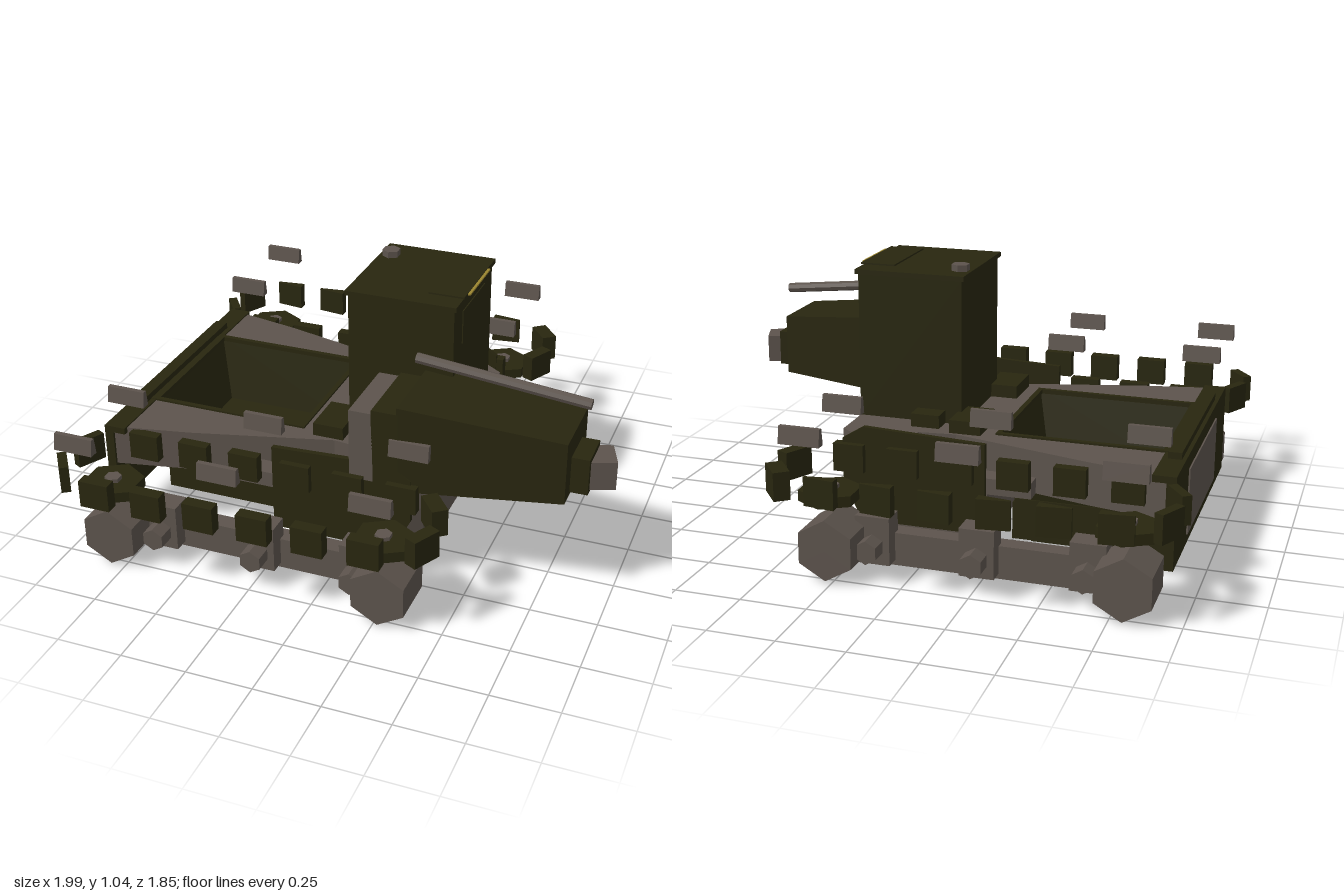
import * as THREE from 'three';

const mat = (name, color, side = THREE.FrontSide) => {
  const m = new THREE.MeshStandardMaterial({ color, side, flatShading: true });
  m.name = name;
  return m;
};

export function createModel() {
  const root = new THREE.Group();
  const olive = mat('darkOlive', 0x28260f, THREE.DoubleSide);
  const grey = mat('warmGrey', 0x5c534c);
  const brass = mat('brass', 0x9a8530);

  const add = (name, geo, m) => {
    const mesh = new THREE.Mesh(geo, m);
    mesh.name = name;
    root.add(mesh);
    return mesh;
  };
  // box from its limits on each axis
  const box = (name, m, x0, x1, y0, y1, z0, z1) => {
    const mesh = add(name, new THREE.BoxGeometry(x1 - x0, y1 - y0, z1 - z0), m);
    mesh.position.set((x0 + x1) / 2, (y0 + y1) / 2, (z0 + z1) / 2);
    return mesh;
  };
  // upright prism over an [x, z] outline, with an optional hole
  const prism = (name, m, pts, y0, y1, hole) => {
    const flat = (list) => list.map(([x, z]) => new THREE.Vector2(x, -z));
    const shape = new THREE.Shape(flat(pts));
    if (hole) shape.holes.push(new THREE.Path(flat(hole)));
    const geo = new THREE.ExtrudeGeometry(shape, { depth: y1 - y0, bevelEnabled: false });
    geo.rotateX(-Math.PI / 2);
    const mesh = add(name, geo, m);
    mesh.position.y = y0;
    return mesh;
  };
  const mirrored = (half) => [...half, ...half.map(([x, z]) => [x, -z]).reverse()];

  // Chassis with chamfered nose
  prism('lowerHull', grey, mirrored([[-0.2, 0.37], [0.2, 0.37], [0.27, 0.3], [0.3, 0.21]]), 0.075, 0.3);
  prism('upperHull', grey, mirrored([[0.07, 0.45], [0.28, 0.45], [0.35, 0.4], [0.35, 0.21]]), 0.3, 0.46);
  prism('deck', grey, mirrored([[-0.89, 0.54], [-0.6, 0.48], [-0.07, 0.34], [0.1, 0.36]]), 0.3, 0.46,
    [[-0.84, 0.29], [-0.22, 0.29], [-0.22, -0.29], [-0.84, -0.29]]);

  // Open hopper with sloping walls
  const hopper = new THREE.CylinderGeometry(Math.SQRT1_2, Math.SQRT1_2 * 0.84, 0.27, 4, 1, true);
  hopper.rotateY(Math.PI / 4);
  hopper.scale(0.62, 1, 0.58);
  add('hopperWalls', hopper, olive).position.set(-0.53, 0.33, 0);
  box('hopperFloor', olive, -0.8, -0.27, 0.18, 0.2, -0.25, 0.25);
  prism('hopperRim', olive, [[-0.86, 0.3], [-0.21, 0.3], [-0.21, -0.3], [-0.86, -0.3]], 0.45, 0.467,
    [[-0.83, 0.28], [-0.23, 0.28], [-0.23, -0.28], [-0.83, -0.28]]);
  box('hopperBase', olive, -0.84, -0.26, 0.035, 0.18, -0.24, 0.24);
  box('bellyPlate', olive, -0.79, -0.32, 0.01, 0.035, -0.19, 0.19);

  // Rear gate
  box('rearGate', olive, -0.925, -0.89, 0.12, 0.46, -0.55, 0.55);
  box('rearGateRail', olive, -0.925, -0.84, 0.44, 0.465, -0.55, 0.55);
  box('rearGateGrip', olive, -0.91, -0.86, 0.465, 0.49, -0.37, 0.37);
  box('rearGatePanel', grey, -0.931, -0.925, 0.16, 0.41, -0.3, 0.3);

  // Cabin tower, lid and hatch
  box('tower', olive, -0.055, 0.35, 0.46, 1.015, -0.225, 0.225);
  box('towerLid', olive, -0.065, 0.36, 1.01, 1.028, -0.235, 0.235);
  box('towerDoor', olive, 0.35, 0.354, 0.84, 0.97, -0.13, 0.13);
  box('roofHatch', olive, 0.23, 0.365, 1.032, 1.038, -0.16, 0.16);
  box('hatchTrim', brass, 0.365, 0.375, 1.03, 1.036, -0.12, 0.12);
  const knob = add('roofKnob', new THREE.CylinderGeometry(0.035, 0.035, 0.025, 6), grey);
  knob.position.set(-0.02, 1.04, -0.13);
  const lamp = add('noseLamp', new THREE.CylinderGeometry(0.03, 0.03, 0.012, 6), brass);
  lamp.rotation.z = Math.PI / 2;
  lamp.position.set(0.357, 0.505, 0);

  // Tapered gun housing with muzzle and slim barrel
  const housing = new THREE.BoxGeometry(0.6, 0.34, 0.39);
  const p = housing.attributes.position;
  for (let i = 0; i < p.count; i++) {
    if (p.getX(i) > 0) {
      p.setY(i, p.getY(i) * 0.7);
      p.setZ(i, p.getZ(i) * 0.73);
    }
  }
  housing.computeVertexNormals();
  add('gunHousing', housing, olive).position.set(0.545, 0.587, 0.335);
  box('gunMount', olive, 0.15, 0.25, 0.48, 0.73, 0.2, 0.53);
  box('gunBracket', grey, 0.065, 0.155, 0.44, 0.715, 0.22, 0.53);
  box('muzzleCollar', olive, 0.84, 0.91, 0.48, 0.62, 0.26, 0.41);
  const muzzle = box('muzzle', grey, 0.86, 0.98, 0.49, 0.6, 0.26, 0.38);
  muzzle.rotation.y = 0.35;
  const a = new THREE.Vector3(0.25, 0.86, 0.33), b = new THREE.Vector3(0.885, 0.795, 0.33);
  add('slimBarrel', new THREE.TubeGeometry(new THREE.LineCurve3(a, b), 1, 0.02, 8), grey);
  for (const [end, sign] of [[a, -1], [b, 1]]) {
    const cap = add('barrelCap', new THREE.CylinderGeometry(0.02, 0.02, 0.004, 8), grey);
    cap.position.copy(end);
    cap.rotation.z = -sign * Math.PI / 2 - 0.1;
  }

  // Running gear on both sides
  for (const s of [1, -1]) {
    const sided = (name, m, x0, x1, y0, y1, z0, z1) =>
      box(name, m, x0, x1, y0, y1, Math.min(s * z0, s * z1), Math.max(s * z0, s * z1));

    sided('frameRail', grey, -0.83, 0.3, 0.03, 0.155, 0.53, 0.6);
    sided('sideStrut', grey, -0.4, 0.12, 0.3, 0.36, 0.41, 0.49);
    sided('deckBlock', olive, -0.16, -0.04, 0.44, 0.51, 0.15, 0.33);
    sided('deckStep', olive, 0.01, 0.12, 0.44, 0.51, 0.22, 0.3);

    // side armour, rising slightly to the front
    const plate = new THREE.Shape([[-0.24, 0.16], [0.23, 0.16], [0.3, 0.3], [0.3, 0.47], [0.22, 0.52], [-0.24, 0.5]]
      .map(([x, y]) => new THREE.Vector2(x, y)));
    add('sideArmour', new THREE.ExtrudeGeometry(plate, { depth: 0.02, bevelEnabled: false }), olive)
      .position.z = s * 0.52 - 0.01;

    for (const x of [-0.8, 0.27]) {
      const wheel = add('endWheel', new THREE.CylinderGeometry(0.115, 0.115, 0.2, 6), grey);
      wheel.rotation.x = Math.PI / 2;
      wheel.position.set(x, 0.135, s * 0.69);
      const disc = add('sprocketDisc', new THREE.CylinderGeometry(0.115, 0.115, 0.04, 6), olive);
      disc.position.set(x, 0.33, s * 0.72);
      const hub = add('sprocketHub', new THREE.CylinderGeometry(0.032, 0.032, 0.02, 6), grey);
      hub.position.set(x, 0.355, s * 0.72);
    }
    for (const x of [-0.65, -0.25, 0.14]) {
      sided('axleBlock', grey, x - 0.065, x + 0.065, 0.05, 0.23, 0.57, 0.66);
      const axle = add('axle', new THREE.CylinderGeometry(0.045, 0.045, 0.08, 6), grey);
      axle.rotation.x = Math.PI / 2;
      axle.position.set(x, 0.12, s * 0.69);
    }

    // flat loop of track pads
    for (let i = 0; i < 6; i++) {
      const x = -0.76 + i * 0.206;
      sided('innerPad', olive, x - 0.058, x + 0.058, 0.35, 0.455, 0.515, 0.555);
      if (s > 0) {
        sided('outerPad', olive, x - 0.058, x + 0.058, 0.35, 0.455, 0.875, 0.922);
      } else {
        const e = i < 3 ? -1 : 1, c = x - 0.04;
        prism('wedgePad', olive, [[c + e * 0.058, -0.91], [c + e * 0.058, -0.9],
          [c - e * 0.058, -0.885], [c - e * 0.058, -0.925]], 0.35, 0.455);
      }
    }
    for (const [x, z, turn, thick] of [[-0.95, 0.81, -0.95, 0.035], [-0.95, 0.63, 1.1, 0.035],
      [0.415, 0.6, -0.9, 0.06], [0.44, 0.8, 1.1, 0.05]]) {
      const zz = s > 0 ? z : z - 1.44;
      const pad = add('endPad', new THREE.BoxGeometry(0.115, 0.105, thick), olive);
      pad.position.set(x, 0.4, zz);
      pad.rotation.y = turn;
    }

    // hovering tapered cleats
    for (const z of [0.53, 0.905]) {
      for (const x of [-0.825, -0.265, 0.295]) {
        const cleat = new THREE.CylinderGeometry(Math.SQRT1_2 * 0.5, Math.SQRT1_2, 0.062, 4);
        cleat.rotateY(Math.PI / 4);
        cleat.scale(0.15, 1, 0.036);
        const q = cleat.attributes.position;
        for (let i = 0; i < q.count; i++) if (q.getX(i)) q.setX(i, Math.sign(q.getX(i)) * 0.075);
        add('cleat', cleat, grey).position.set(x, 0.6, s * z);
      }
    }
  }
  return root;
}
